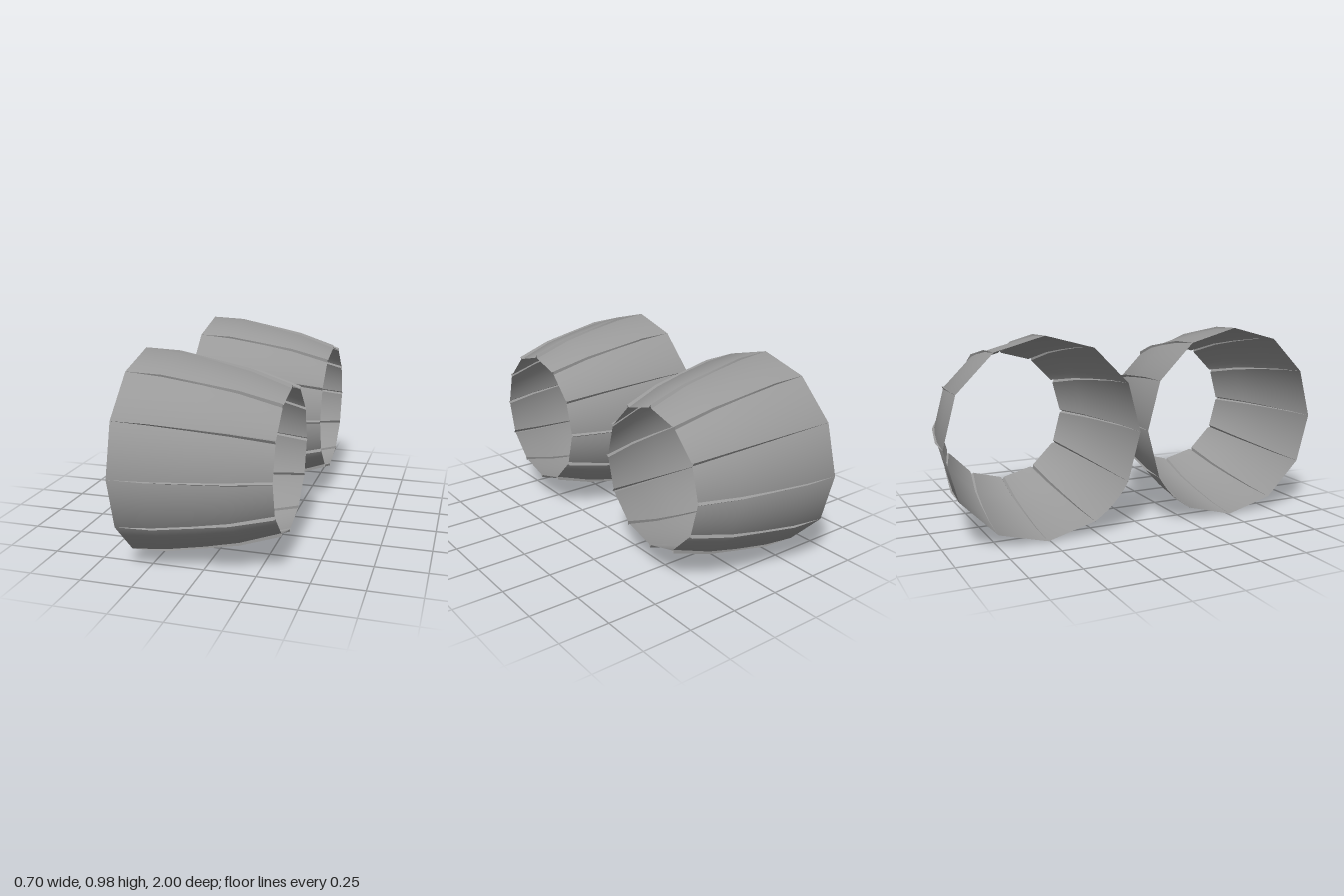
import * as THREE from 'three';

const PETALS = 12, STEP = (Math.PI * 2) / PETALS;
const AXIS_Y = 0.49, AXIS_Z = 0.51;
// Lengthwise stations: x, ridge crest radius, petal edge radius, ridge half width
const STATIONS = [
  [-0.35, 0.489, 0.489, 0.0003],
  [-0.18, 0.483, 0.473, 0.002],
  [0.0, 0.449, 0.441, 0.0045],
  [0.16, 0.418, 0.406, 0.0065],
  [0.35, 0.356, 0.341, 0.0085],
];

// Lofted sheet: rows along x, columns around the axis; at(i, j) gives [x, y, z]
function sheet(cols, at, normalAt) {
  const pos = [], nor = [], idx = [];
  STATIONS.forEach((s, i) => {
    for (let j = 0; j <= cols; j++) {
      pos.push(...at(i, j));
      if (normalAt) nor.push(...normalAt(i, j));
      if (i < STATIONS.length - 1 && j < cols) {
        const a = i * (cols + 1) + j, b = a + cols + 1;
        idx.push(a, b, a + 1, b, b + 1, a + 1);
      }
    }
  });
  const g = new THREE.BufferGeometry();
  g.setAttribute('position', new THREE.Float32BufferAttribute(pos, 3));
  g.setIndex(idx);
  if (normalAt) g.setAttribute('normal', new THREE.Float32BufferAttribute(nor, 3));
  else g.computeVertexNormals();
  return g;
}

const polar = (x, r, t) => [x, r * Math.sin(t), r * Math.cos(t)];

// Panel between two ridges: a flat chord, or bowed out to an arc at the wide end
function petal(k, bowed) {
  const cols = 6;
  const angle = (i, j) => {
    const a = STATIONS[i][3] / STATIONS[i][2];
    return k * STEP + a + (STEP - 2 * a) * (j / cols);
  };
  const mid = (k + 0.5) * STEP;
  return sheet(cols, (i, j) => {
    const [x, , r, w] = STATIONS[i];
    const t = angle(i, j);
    const chord = r * Math.cos(STEP / 2 - w / r) / Math.cos(t - mid);
    const bow = bowed ? 1 - i / (STATIONS.length - 1) : 0;
    return polar(x, chord + (r - chord) * bow, t);
  }, (i, j) => {
    const p = STATIONS[Math.max(i - 1, 0)], q = STATIONS[Math.min(i + 1, STATIONS.length - 1)];
    const slope = (p[2] - q[2]) / (q[0] - p[0]), l = Math.hypot(1, slope);
    return polar(slope / l, 1 / l, angle(i, j));
  });
}

// One side wall of the folded ridge between petals
function ridgeWall(k, side) {
  return sheet(1, (i, j) => {
    const [x, crest, edge, w] = STATIONS[i];
    const onCrest = (side < 0) === (j === 1);
    return onCrest ? polar(x, crest, k * STEP) : polar(x, edge, k * STEP + side * w / edge);
  });
}

export function createModel() {
  const model = new THREE.Group();
  model.name = 'nozzlePair';
  const metal = new THREE.MeshStandardMaterial({ color: 0x999999 });
  metal.name = 'grey metal';
  metal.side = THREE.DoubleSide;

  for (const s of [1, -1]) {
    const nozzle = new THREE.Group();
    nozzle.name = s > 0 ? 'frontNozzle' : 'backNozzle';
    const add = (geometry, name) => {
      const mesh = new THREE.Mesh(geometry, metal);
      mesh.name = name;
      nozzle.add(mesh);
    };
    for (let k = 0; k < PETALS; k++) {
      add(petal(k, k === 7), 'petal');
      add(ridgeWall(k, -1), 'ridge');
      add(ridgeWall(k, 1), 'ridge');
    }
    nozzle.position.set(0, AXIS_Y, s * AXIS_Z);
    nozzle.scale.z = s;
    model.add(nozzle);
  }
  return model;
}
